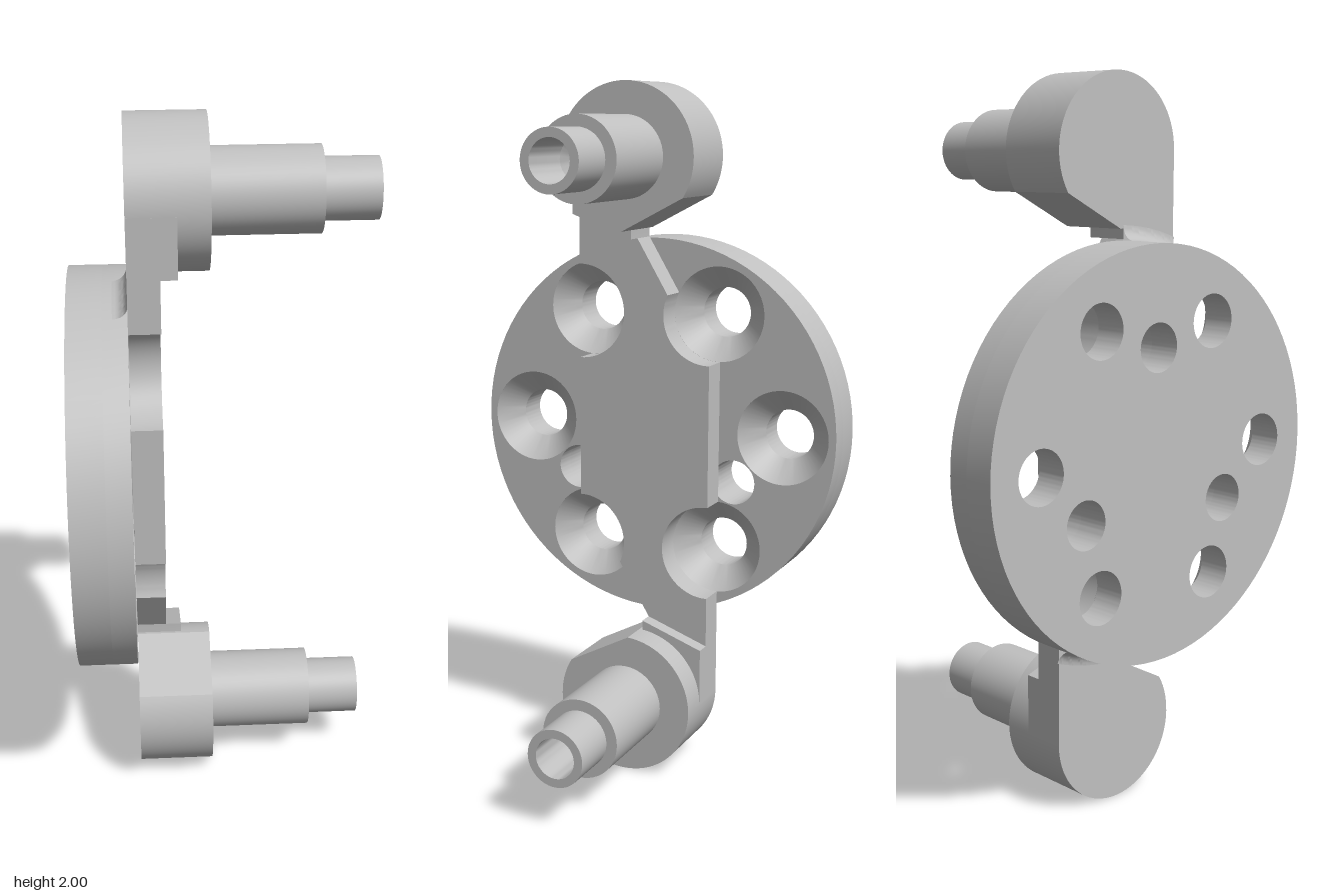
import * as THREE from 'three';
import { toCreasedNormals } from 'three/addons/utils/BufferGeometryUtils.js';

const metal = new THREE.MeshStandardMaterial({ color: 0xc0c0c0 });
metal.name = 'plain grey metal';

// Depths along x
const DISC_BACK = -0.41, SINK_FLOOR = -0.316, DISC_FRONT = -0.25;
const BAR_FRONT = -0.165, ARM_FRONT = -0.12, BOSS_FRONT = -0.035;
const HOLE_R = 0.073, SINK_R = 0.138, PIN_Y = 0.795;

// Points on an arc, angles in degrees
function arc(cx, cy, r, from, to, n = 32) {
  return Array.from({ length: n + 1 }, (_, i) => {
    const a = THREE.MathUtils.degToRad(from + (to - from) * i / n);
    return [cx + r * Math.cos(a), cy + r * Math.sin(a)];
  });
}
const vectors = pts => pts.map(([x, y]) => new THREE.Vector2(x, y));

// Flat part: outline in (-z, y), extruded along x
function plate(name, outline, x0, x1, holes = []) {
  const shape = new THREE.Shape(vectors(outline));
  for (const [cx, cy, r] of holes) {
    shape.holes.push(new THREE.Path().absarc(cx, cy, r, 0, Math.PI * 2, true));
  }
  const geo = new THREE.ExtrudeGeometry(shape, { depth: x1 - x0, bevelEnabled: false, curveSegments: 40 });
  geo.translate(0, 0, x0).rotateY(Math.PI / 2);
  const mesh = new THREE.Mesh(toCreasedNormals(geo, 0.5), metal);
  mesh.name = name;
  return mesh;
}

// Turned part: profile of [radius, x], revolved about the x direction
function turned(name, profile, y = 0, z = 0, start = 0, sweep = 360) {
  const rad = THREE.MathUtils.degToRad;
  const geo = new THREE.LatheGeometry(vectors(profile), 48, rad(start), rad(sweep)).rotateZ(-Math.PI / 2);
  const mesh = new THREE.Mesh(toCreasedNormals(geo, 0.5), metal);
  mesh.position.set(0, y, z);
  mesh.name = name;
  return mesh;
}

function createArm() {
  const arm = new THREE.Group();
  // Round boss with one flat cut
  arm.add(plate('boss', arc(0, PIN_Y, 0.205, -32, 267, 64), DISC_FRONT, BOSS_FRONT));
  // Neck joining boss and bar
  arm.add(plate('neck', [[-0.205, PIN_Y], [-0.205, 0.63], [-0.02, 0.563], [-0.02, 0.6], [0, PIN_Y]],
    DISC_FRONT, ARM_FRONT));
  // Stepped pin with a drilled end
  arm.add(turned('pin', [[0.115, BOSS_FRONT], [0.115, 0.26], [0.083, 0.26], [0.083, 0.41],
    [0.058, 0.41], [0.058, 0.24], [0, 0.205]], PIN_Y));
  // Small fillet between the disc rim and the back of the neck
  const fillet = arc(0.6, -0.29, 0.04, 180, 90, 8);
  arm.add(turned('rimFillet', fillet, 0, 0, 272, 18.5));
  return arm;
}

export function createModel() {
  const model = new THREE.Group();
  const body = new THREE.Group();
  body.name = 'flangeAssembly';
  body.position.y = 1;
  model.add(body);

  // Hole pattern: six countersunk holes and three plain ones
  const sinks = [], plain = [];
  for (let i = 0; i < 6; i++) {
    const a = i * Math.PI / 3;
    sinks.push([0.4 * Math.cos(a), 0.4 * Math.sin(a)]);
  }
  for (let i = 0; i < 3; i++) {
    const a = Math.PI / 2 + i * Math.PI * 2 / 3;
    plain.push([0.29 * Math.cos(a), 0.29 * Math.sin(a), 0.066]);
  }
  const withRadius = r => [...sinks.map(([x, y]) => [x, y, r]), ...plain];

  // Disc in two layers, with cones for the countersinks
  const rim = arc(0, 0, 0.56, 0, 360, 96).slice(0, -1);
  body.add(plate('discBack', rim, DISC_BACK, SINK_FLOOR, withRadius(HOLE_R)));
  body.add(plate('discFront', rim, SINK_FLOOR, DISC_FRONT, withRadius(SINK_R)));
  for (const [s, y] of sinks) {
    body.add(turned('countersink', [[SINK_R, DISC_FRONT], [HOLE_R, SINK_FLOOR]], y, -s));
  }

  // Cross bar, scalloped round the countersinks; second half is the first turned 180 degrees
  const half = [[-0.205, 0.63], [-0.02, 0.563],
    ...arc(0.2, 0.346, SINK_R, 155, 272), ...arc(0.2, -0.346, SINK_R, 88, 272)];
  const outline = [...half, ...half.map(([x, y]) => [-x, -y])];
  body.add(plate('crossBar', outline, DISC_FRONT, BAR_FRONT));

  // Two arms, the lower one turned 180 degrees about x
  const upper = createArm();
  upper.name = 'upperArm';
  const lower = createArm();
  lower.name = 'lowerArm';
  lower.rotation.x = Math.PI;
  body.add(upper, lower);
  return model;
}
